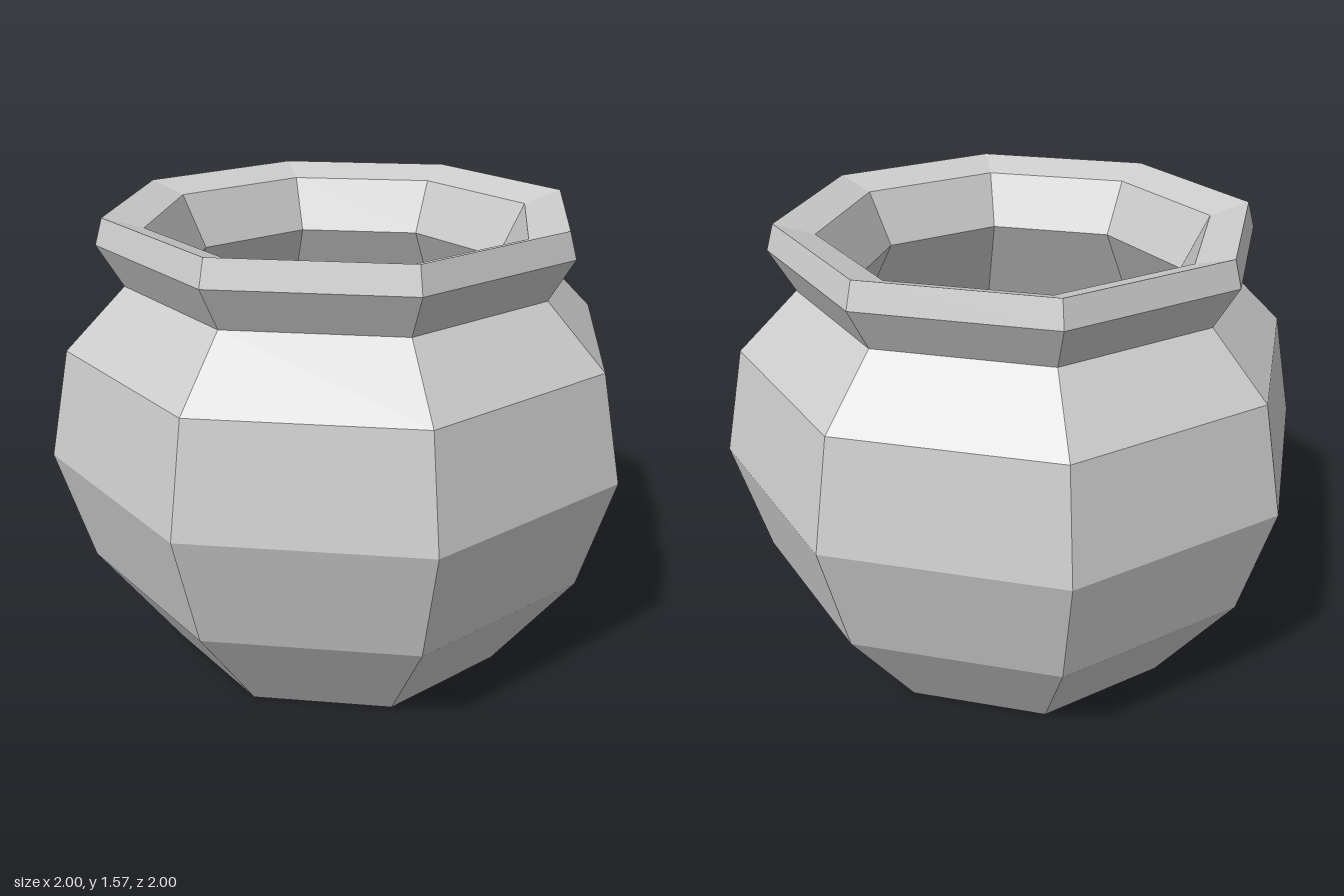
import * as THREE from 'three';

const SIDES = 8;

// Eight-sided faceted surface of revolution from [radius, height] pairs
function turned(name, profile, material) {
  const points = profile.map(([r, y]) => new THREE.Vector2(r, y));
  const mesh = new THREE.Mesh(new THREE.LatheGeometry(points, SIDES), material);
  mesh.name = name;
  return mesh;
}

export function createModel() {
  const group = new THREE.Group();
  group.name = 'pot';
  const clay = new THREE.MeshStandardMaterial({ color: 0xcccccc, flatShading: true });

  // Base and bulging body up to the neck
  group.add(turned('body', [
    [0, 0], [0.61, 0], [0.89, 0.39], [1, 0.785], [0.925, 1.145], [0.725, 1.345],
  ], clay));

  // Flared rim, sloping in to the narrow throat
  group.add(turned('rim', [
    [0.725, 1.345], [0.805, 1.485], [0.78, 1.57], [0.65, 1.53], [0.56, 1.35],
  ], clay));

  // Hollow widening below the throat
  group.add(turned('innerWall', [[0.56, 1.35], [0.8, 0.93]], clay));

  // Flat floor of the hollow
  group.add(turned('innerFloor', [[0.8, 0.93], [0, 0.93]], clay));

  return group;
}
